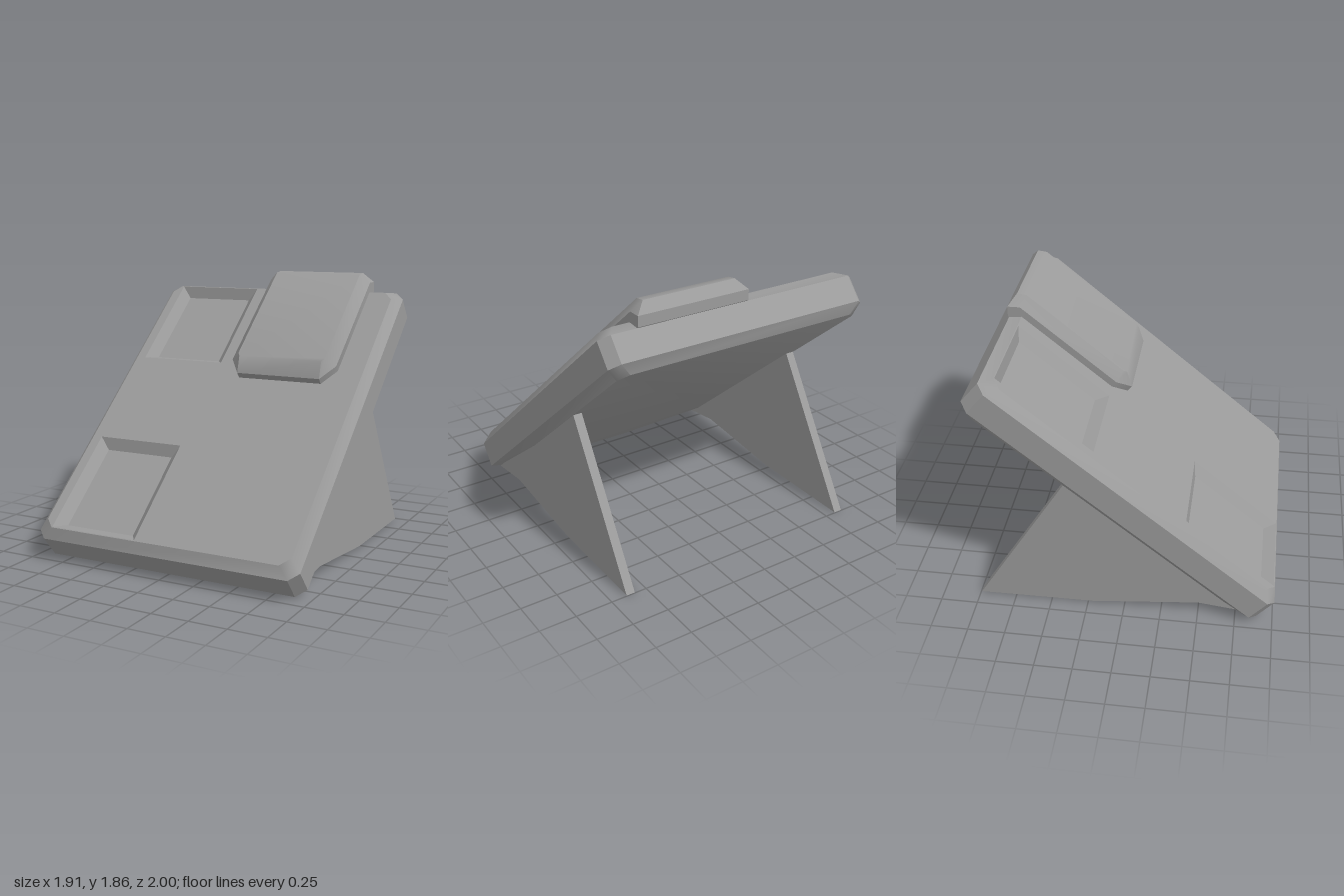
import * as THREE from 'three';
import { toCreasedNormals } from 'three/addons/utils/BufferGeometryUtils.js';

const material = new THREE.MeshStandardMaterial({ color: 0x9b9b9b });

function mesh(name, geometry) {
  const m = new THREE.Mesh(geometry, material);
  m.name = name;
  return m;
}

// Joins counter-clockwise rings of [x, y, z] with quads; caps are lists of ring corners
function loft(rings, topCaps = [], bottomCap = false) {
  const pos = [];
  const fan = (p) => {
    for (let i = 1; i < p.length - 1; i++) pos.push(...p[0], ...p[i], ...p[i + 1]);
  };
  for (let r = 0; r < rings.length - 1; r++) {
    const a = rings[r], b = rings[r + 1], n = a.length;
    for (let i = 0; i < n; i++) {
      const j = (i + 1) % n;
      fan([a[i], a[j], b[j], b[i]]);
    }
  }
  const last = rings[rings.length - 1];
  topCaps.forEach((cap) => fan(cap.map((i) => last[i])));
  if (bottomCap) fan([...rings[0]].reverse());
  const g = new THREE.BufferGeometry();
  g.setAttribute('position', new THREE.Float32BufferAttribute(pos, 3));
  return toCreasedNormals(g, THREE.MathUtils.degToRad(36));
}

const rect = (x0, x1, y0, y1, z) => [[x0, y0, z], [x1, y0, z], [x1, y1, z], [x0, y1, z]];

// Rectangle with its four corners cut by c
function octagon(w, y0, y1, c, z) {
  return [
    [-w + c, y0, z], [w - c, y0, z], [w, y0 + c, z], [w, y1 - c, z],
    [w - c, y1, z], [-w + c, y1, z], [-w, y1 - c, z], [-w, y0 + c, z],
  ];
}

export function createModel() {
  const model = new THREE.Group();
  model.name = 'tiltedPanel';

  // Tilted frame: y runs up the panel, z points out of its face
  const panel = new THREE.Group();
  panel.name = 'panel';
  panel.rotation.x = -THREE.MathUtils.degToRad(50);
  panel.position.set(0, 0.23, 1);
  model.add(panel);

  // Underside outline, its two lower corners cut back unevenly
  const underside = octagon(0.895, 0, 2.33, 0.063, -0.3);
  underside[0][0] = -0.2;
  underside[1][0] = 0.66;
  underside[2][1] = 0.8;
  underside[7][1] = 0.18;

  // Bevelled slab, open at the face
  const faceRing = octagon(0.895, 0, 2.33, 0.063, 0);
  panel.add(mesh('slab', loft([
    underside,
    octagon(0.955, -0.06, 2.39, 0.063, -0.24),
    octagon(0.955, -0.06, 2.39, 0.063, -0.06),
    faceRing,
  ], [], true)));

  // Face with two sunken trays
  const v2 = (ring) => ring.map(([x, y]) => new THREE.Vector2(x, y));
  const face = new THREE.Shape(v2(faceRing));
  for (const [name, y0, y1] of [['lowerTray', 0.006, 0.785], ['upperTray', 1.555, 2.324]]) {
    const rim = rect(-0.828, -0.186, y0, y1, 0);
    const floor = rect(-0.763, -0.25, y0 + 0.065, y1 - 0.065, -0.06);
    face.holes.push(new THREE.Path(v2(rim)));
    panel.add(mesh(name, loft([rim, floor], [[0, 1, 2, 3]])));
  }
  panel.add(mesh('face', new THREE.ShapeGeometry(face)));

  // Raised cover bending down over the top edge
  const coverRing = (front, side, y0, y1, yBack, yEnd, z, zEnd) => {
    const c = 0.32;
    return [
      [c - front, y0, z], [c + front, y0, z], [c + side, y1, z],
      [c + side, yBack, z], [c + side, yEnd, zEnd],
      [c - side, yEnd, zEnd], [c - side, yBack, z], [c - side, y1, z],
    ];
  };
  panel.add(mesh('raisedCover', loft([
    coverRing(0.31, 0.395, 1.43, 1.555, 2.35, 2.4, -0.06, -0.06),
    coverRing(0.31, 0.395, 1.43, 1.555, 2.38, 2.445, 0.048, -0.006),
    coverRing(0.31, 0.328, 1.53, 1.56, 2.39, 2.445, 0.115, 0.08),
  ], [[0, 1, 2, 3, 6, 7], [3, 4, 5, 6]], true)));

  // Triangular support fins behind the panel, drawn in the side plane as (-z, y)
  const fin = new THREE.Shape([
    [0.82, 0.04], [0.5, 0.08], [-0.22, 0.005], [-0.995, 0], [-0.38, 1], [-0.33, 1.08],
  ].map(([z, y]) => new THREE.Vector2(-z, y)));
  for (const [name, x] of [['leftFin', 0.83], ['rightFin', -0.89]]) {
    const g = new THREE.ExtrudeGeometry(fin, { depth: 0.06, bevelEnabled: false });
    g.rotateY(Math.PI / 2);
    g.translate(x, 0, 0);
    model.add(mesh(name, g));
  }
  return model;
}
